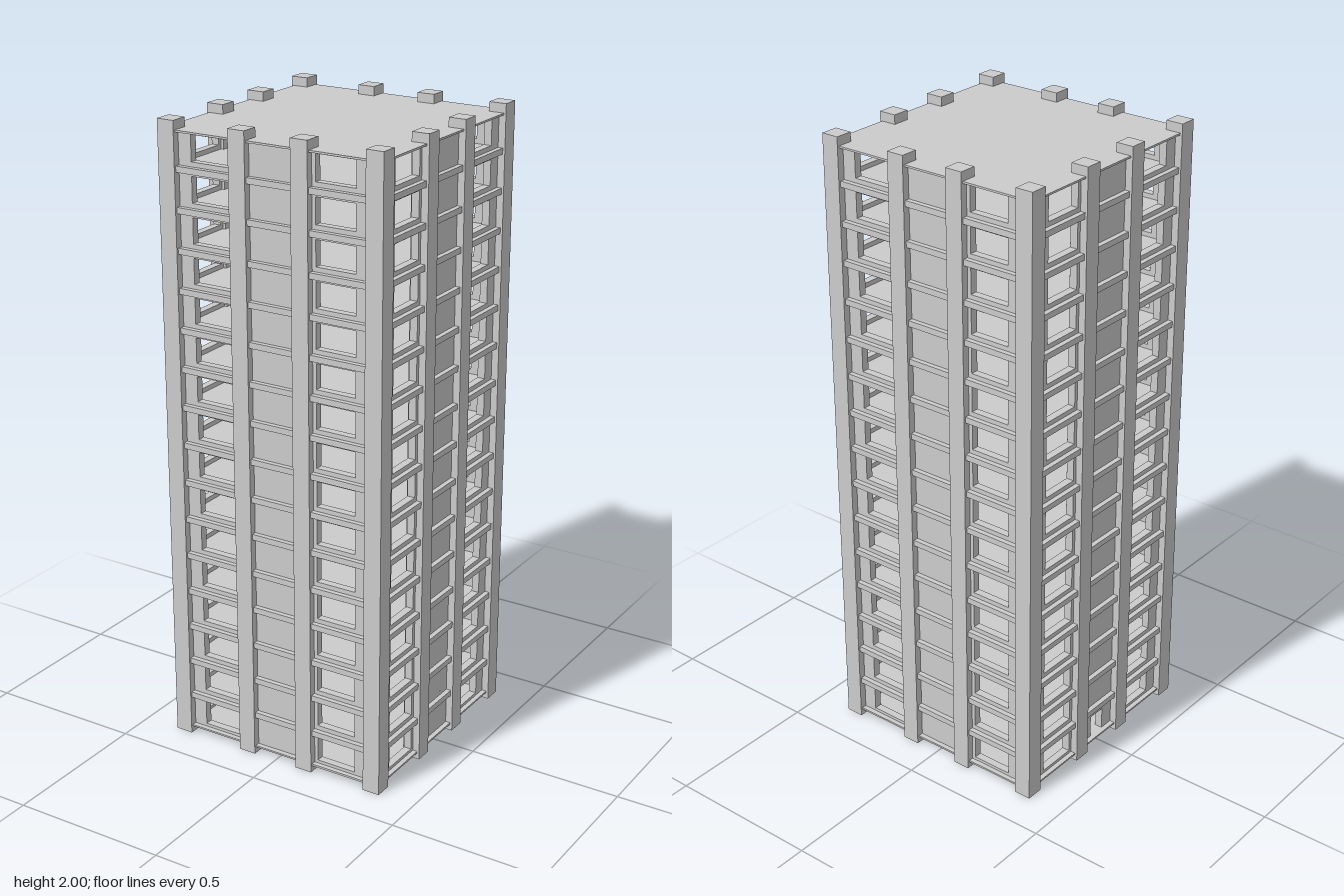
import * as THREE from 'three';

const FLOORS = 16, PITCH = 0.1229, BASE = 0.0205, TOP = 1.971;
const STOREY = 0.107;          // clear height between slabs
const EDGE = 0.373;            // half width of the slabs
const WALL = 0.357, THICK = 0.025; // wall face and thickness
const COL = 0.057, OUT = 0.3515, MID = 0.1055; // column size and positions

const material = new THREE.MeshStandardMaterial({ color: 0xcccccc, flatShading: true });

function box(name, w, h, d, x, y, z) {
  const mesh = new THREE.Mesh(new THREE.BoxGeometry(w, h, d), material);
  mesh.name = name;
  mesh.position.set(x, y, z);
  return mesh;
}

function rect(path, x0, y0, x1, y1) {
  path.moveTo(x0, y0);
  path.lineTo(x1, y0);
  path.lineTo(x1, y1);
  path.lineTo(x0, y1);
  path.closePath();
  return path;
}

// One facade with two columns of window openings, and optionally a doorway
function facade(name, angle, hasDoor) {
  const half = 0.345;
  const shape = rect(new THREE.Shape(), -half, BASE + 0.003, half, TOP - 0.003);
  for (let i = 0; i < FLOORS; i++) {
    const y = BASE + i * PITCH;
    for (const x of [-0.279, 0.146]) {
      shape.holes.push(rect(new THREE.Path(), x, y + 0.016, x + 0.133, y + 0.096));
    }
  }
  if (hasDoor) shape.holes.push(rect(new THREE.Path(), -0.03, BASE + 0.006, 0.03, BASE + 0.08));
  const geometry = new THREE.ExtrudeGeometry(shape, { depth: THICK, bevelEnabled: false });
  geometry.translate(0, 0, WALL - THICK);
  const mesh = new THREE.Mesh(geometry, material);
  mesh.name = name;
  mesh.rotation.y = angle;
  return mesh;
}

export function createModel() {
  const tower = new THREE.Group();
  tower.name = 'tower';

  // Walls
  ['frontWall', 'leftWall', 'backWall', 'rightWall'].forEach((name, i) => {
    tower.add(facade(name, i * Math.PI / 2, name === 'rightWall'));
  });

  // Floor slabs standing proud of the walls
  for (let i = 1; i < FLOORS; i++) {
    const h = PITCH - STOREY + 0.003;
    tower.add(box('floorSlab', EDGE * 2, h, EDGE * 2, 0, BASE + i * PITCH - (PITCH - STOREY) / 2, 0));
  }

  // Thin base and roof plates
  const plate = 0.006;
  tower.add(box('basePlate', EDGE * 2, plate, EDGE * 2, 0, BASE + plate / 2, 0));
  tower.add(box('roof', EDGE * 2, plate, EDGE * 2, 0, TOP - plate / 2, 0));

  // Full-height columns around the perimeter, four per side
  const stops = [-OUT, -MID, MID, OUT];
  for (const x of stops) {
    for (const z of stops) {
      if (Math.abs(x) === OUT || Math.abs(z) === OUT) tower.add(box('column', COL, 2, COL, x, 1, z));
    }
  }
  return tower;
}
